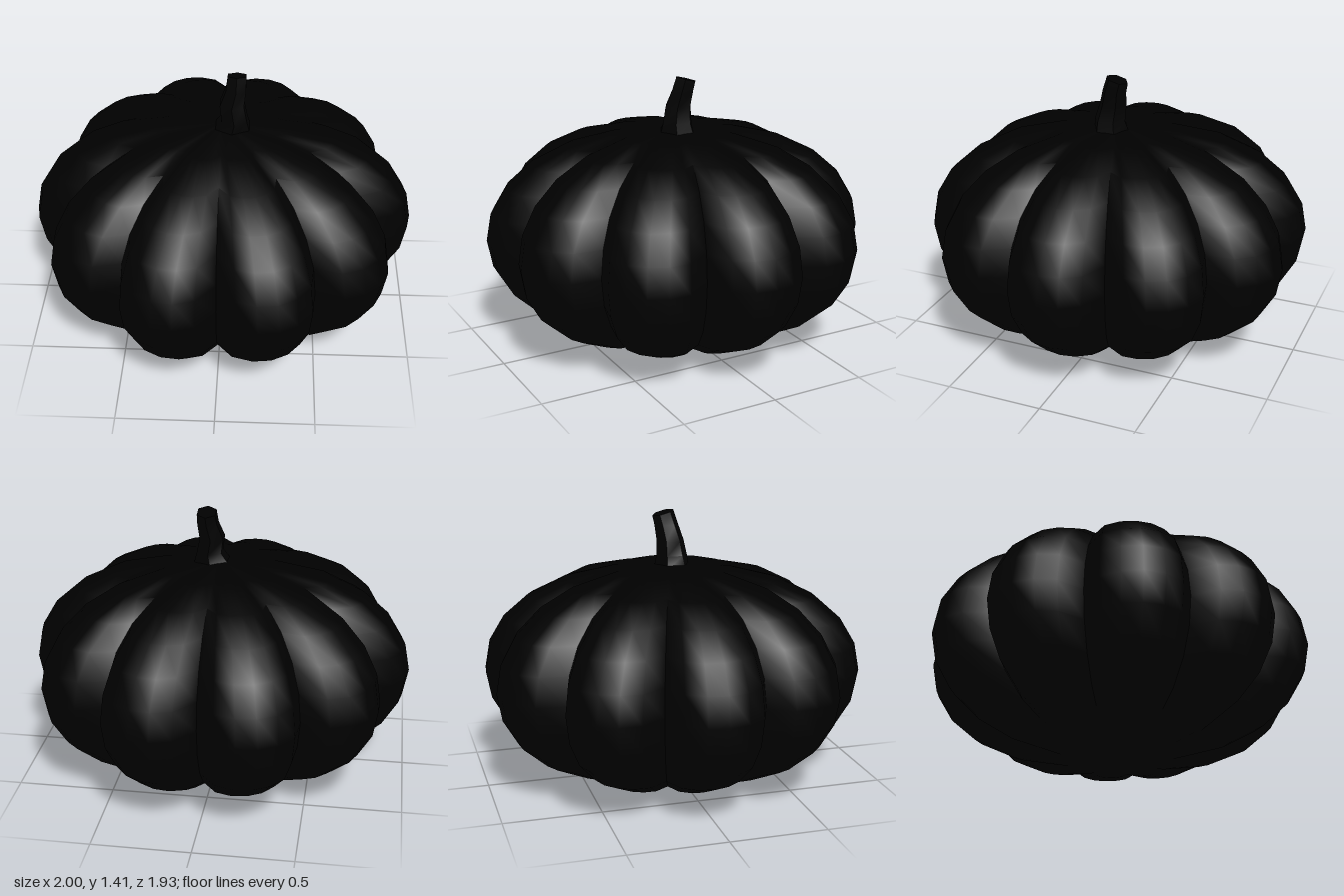
import * as THREE from 'three';
import { toCreasedNormals } from 'three/addons/utils/BufferGeometryUtils.js';

const LOBES = 10;
const HALF_HEIGHT = 0.565;

// Flattened sphere, scalloped into lobes with sharp grooves between them
function bodyGeometry() {
  const geo = new THREE.SphereGeometry(1, LOBES * 6, 12);
  const pos = geo.attributes.position;
  for (let i = 0; i < pos.count; i++) {
    const x = pos.getX(i), y = pos.getY(i), z = pos.getZ(i);
    const ring = Math.hypot(x, z);
    const angle = Math.atan2(z, x);
    const lobe = 0.82 + 0.18 * Math.pow(Math.abs(Math.cos(angle * LOBES / 2)), 0.6);
    const radius = ring < 1e-4 ? 0 : Math.pow(ring, 0.8) * lobe;
    pos.setXYZ(i, Math.cos(angle) * radius, HALF_HEIGHT * (1 + y), Math.sin(angle) * radius);
  }
  return toCreasedNormals(geo, 0.9);
}

// Crooked six-sided stem; each ring is [centre x, y, centre z, radius x, radius z]
function stemGeometry() {
  const rings = [
    [0.045, 1.11, 0.015, 0.1, 0.095],
    [0.06, 1.17, 0.02, 0.068, 0.083],
    [0.046, 1.25, 0.008, 0.065, 0.073],
    [0.066, 1.33, -0.007, 0.054, 0.064],
    [0.07, 1.393, -0.025, 0.05, 0.056],
  ];
  const geo = new THREE.CylinderGeometry(1, 1, rings.length - 1, 6, rings.length - 1);
  const pos = geo.attributes.position;
  for (let i = 0; i < pos.count; i++) {
    const level = Math.round(pos.getY(i) + (rings.length - 1) / 2);
    const [cx, cy, cz, rx, rz] = rings[level];
    const z = pos.getZ(i);
    // the cut end slopes down to the back
    const tilt = level === rings.length - 1 ? 0.015 * z : 0;
    pos.setXYZ(i, cx + pos.getX(i) * rx * 1.08, cy + tilt, cz + z * rz);
  }
  return toCreasedNormals(geo, 0.9);
}

export function createModel() {
  const group = new THREE.Group();
  group.name = 'pumpkin';
  const material = new THREE.MeshStandardMaterial({ color: 0x000000 });

  const body = new THREE.Mesh(bodyGeometry(), material);
  body.name = 'body';

  const stem = new THREE.Mesh(stemGeometry(), material);
  stem.name = 'stem';

  group.add(body, stem);
  return group;
}
